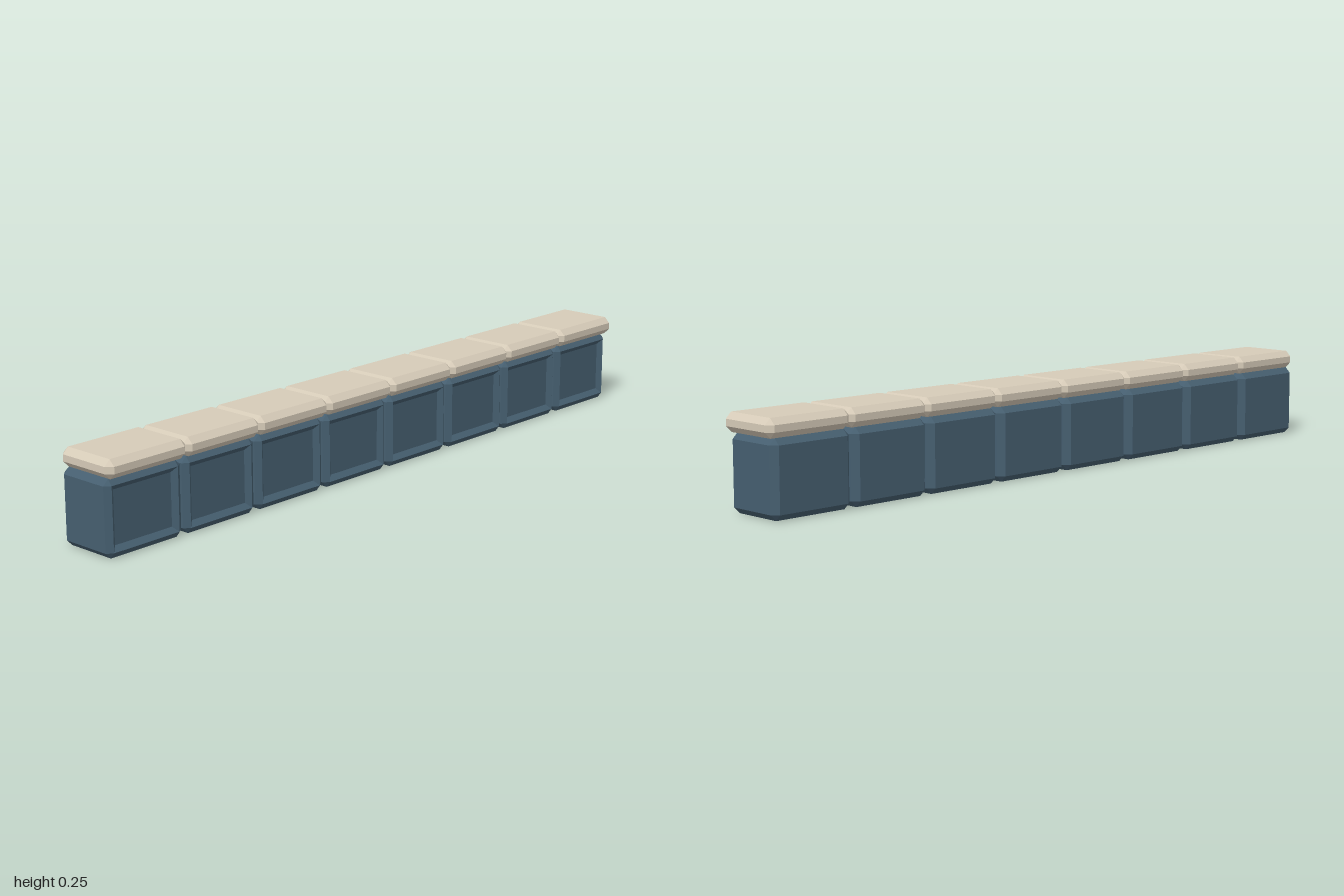
import * as THREE from 'three';

const BEVEL = 0.016;

// Octagon outline: half width, half height and corner cut (0 gives a rectangle).
function outline(hx, hy, cx, cy, z) {
  return [[hx, -hy + cy], [hx, hy - cy], [hx - cx, hy], [-hx + cx, hy],
    [-hx, hy - cy], [-hx, -hy + cy], [-hx + cx, -hy], [hx - cx, -hy]]
    .map(([x, y]) => new THREE.Vector3(x, y, z));
}

// Skins loops from back to front and closes both ends.
function skin(loops) {
  const pts = [];
  const tri = (a, b, c) => {
    const area = b.clone().sub(a).cross(c.clone().sub(a)).length();
    if (area > 1e-9) pts.push(a, b, c);
  };
  for (let k = 0; k < loops.length - 1; k++) {
    const a = loops[k], b = loops[k + 1];
    for (let i = 0; i < 8; i++) {
      const j = (i + 1) % 8;
      tri(a[i], a[j], b[j]);
      tri(a[i], b[j], b[i]);
    }
  }
  const back = loops[0], front = loops[loops.length - 1];
  for (let i = 1; i < 7; i++) {
    tri(back[0], back[i + 1], back[i]);
    tri(front[0], front[i], front[i + 1]);
  }
  const geometry = new THREE.BufferGeometry().setFromPoints(pts);
  geometry.computeVertexNormals();
  return geometry;
}

// Box with every edge chamfered; the front may carry a sunken panel.
function chamferBox(w, h, zBack, zFront, frontBevel, recess = 0) {
  const hx = w / 2, hy = h / 2, c = BEVEL;
  const loops = [
    outline(hx - c, hy - c, 0, 0, zBack),
    outline(hx, hy, c, c, zBack + c),
    outline(hx, hy, c, c, zFront - frontBevel),
    outline(hx - c, hy - c, 0, 0, zFront),
  ];
  if (recess) loops.push(outline(hx - c - 0.014, hy - c - 0.014, 0, 0, zFront - recess));
  return skin(loops);
}

export function createModel() {
  const model = new THREE.Group();
  model.name = 'lowWall';
  const baseMaterial = new THREE.MeshStandardMaterial({ color: 0x465f70, flatShading: true });
  const capMaterial = new THREE.MeshStandardMaterial({ color: 0xd6cbb8, flatShading: true });

  const baseGeometry = chamferBox(0.243, 0.2, -0.091, 0.08, 0.012, 0.012);
  const capGeometry = chamferBox(0.256, 0.05, -0.092, 0.092, BEVEL);

  // Eight blocks in a row, each with its coping stone.
  for (let i = 0; i < 8; i++) {
    const segment = new THREE.Group();
    segment.name = `wallSegment${i + 1}`;
    segment.position.x = -0.872 + i * 0.2491;

    const base = new THREE.Mesh(baseGeometry, baseMaterial);
    base.name = 'panelBlock';
    base.position.set(-0.0065, 0.1, 0);

    const cap = new THREE.Mesh(capGeometry, capMaterial);
    cap.name = 'copingStone';
    cap.position.y = 0.225;

    segment.add(base, cap);
    model.add(segment);
  }
  return model;
}
